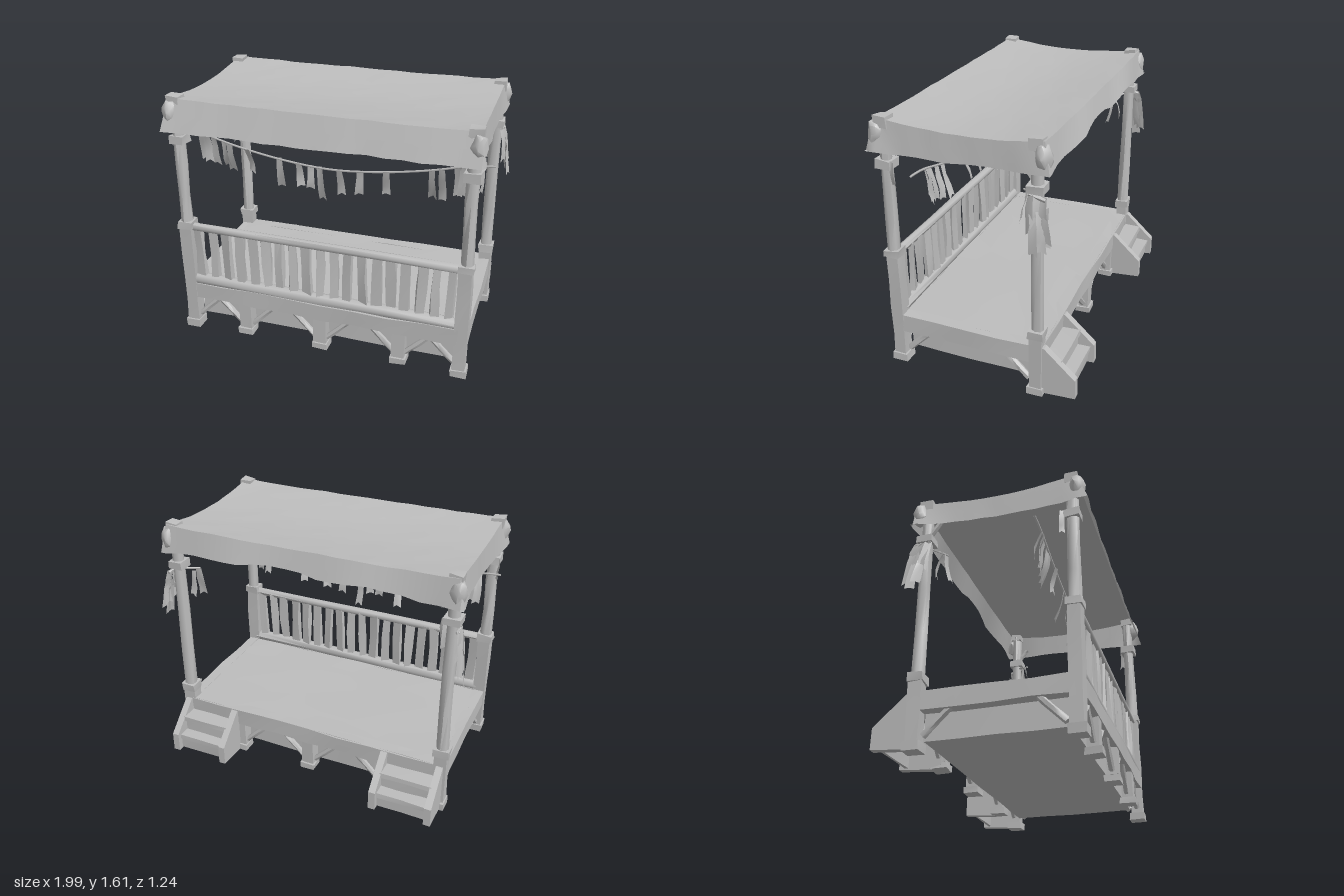
import * as THREE from 'three';
import { toCreasedNormals } from 'three/addons/utils/BufferGeometryUtils.js';

const grey = new THREE.MeshStandardMaterial({ color: 0xbdbdbd, side: THREE.DoubleSide });
grey.name = 'weathered grey';

// Seeded noise in -1..1, used to make timber and cloth uneven
let seed = 7;
function rnd() {
  seed = (seed * 16807) % 2147483647;
  return (seed / 2147483647) * 2 - 1;
}
function wobble(x, y, z) {
  const s = Math.sin(x * 127.1 + y * 311.7 + z * 74.7) * 43758.5;
  return (s - Math.floor(s)) * 2 - 1;
}

// Moves every vertex slightly; matching corners move together
function roughen(geo, amount, salt) {
  const p = geo.attributes.position;
  for (let i = 0; i < p.count; i++) {
    const x = Math.round(p.getX(i) * 1000) / 1000 + salt;
    const y = Math.round(p.getY(i) * 1000) / 1000;
    const z = Math.round(p.getZ(i) * 1000) / 1000;
    p.setXYZ(i, p.getX(i) + amount * wobble(x, y, z), p.getY(i) + amount * wobble(y, z, x),
      p.getZ(i) + amount * wobble(z, x, y));
  }
  return toCreasedNormals(geo, 0.9);
}

export function createModel() {
  seed = 7;
  const model = new THREE.Group();
  model.name = 'covered platform';

  function add(name, geo, x = 0, y = 0, z = 0) {
    const mesh = new THREE.Mesh(geo, grey);
    mesh.name = name;
    mesh.position.set(x, y, z);
    model.add(mesh);
    return mesh;
  }
  // Uneven timber given by its centre and size
  function timber(name, x, y, z, w, h, d, amount = 0.004) {
    const seg = (s) => Math.max(1, Math.min(8, Math.round(s / 0.2)));
    const geo = new THREE.BoxGeometry(w, h, d, seg(w), seg(h), seg(d));
    return add(name, roughen(geo, amount, model.children.length * 0.37), x, y, z);
  }
  // Round pole between two points
  function pole(name, a, b, r, sides = 6, rEnd = r) {
    const from = new THREE.Vector3(...a), to = new THREE.Vector3(...b);
    const dir = to.clone().sub(from);
    const geo = roughen(new THREE.CylinderGeometry(rEnd, r, dir.length(), sides, 4), r * 0.1, a[0]);
    const mesh = add(name, geo);
    mesh.position.copy(from).add(to).multiplyScalar(0.5);
    mesh.quaternion.setFromUnitVectors(new THREE.Vector3(0, 1, 0), dir.normalize());
    return mesh;
  }

  const PX = 0.89, FZ = 0.515, BZ = -0.38;

  // Corner posts with feet, collars and caps
  for (const x of [-PX, PX]) {
    for (const z of [FZ, BZ]) {
      const joint = z === FZ ? 0.76 : 0.425;
      timber('lowerPost', x, joint / 2 + 0.01, z, 0.08, joint - 0.02, 0.074);
      pole('upperPost', [x, joint, z], [x, 1.57, z], 0.039, 8, 0.036);
      timber('postFoot', x, 0.032, z, 0.098, 0.05, 0.098);
      timber('postCap', x, 1.575, z, 0.078, 0.064, 0.078, 0.006);
      timber('postCollar', x, joint, z, 0.094, 0.05, 0.09, 0.006);
      timber('postCollar', x, 1.33, z, 0.094, 0.05, 0.094, 0.006);
    }
    // Side beams and braces
    timber('sideBeam', x, 0.285, 0.065, 0.07, 0.11, 0.84);
    pole('sideBrace', [x, 0.09, 0.46], [x, 0.24, 0.31], 0.02);
    pole('sideBrace', [x, 0.09, -0.33], [x, 0.24, -0.18], 0.02);
    // Small braces under the canopy at the back
    pole('canopyBrace', [x, 1.37, BZ + 0.02], [x, 1.45, BZ + 0.08], 0.016);
  }

  // Short legs, long beams and braces on the front and back
  for (const z of [FZ, BZ]) {
    timber('longBeam', 0, 0.287, z, 1.74, 0.105, 0.075, 0.006);
    for (const x of [-0.51, 0, 0.51]) {
      timber('shortLeg', x, 0.17, z, 0.08, 0.22, 0.07);
      timber('legFoot', x, 0.042, z, 0.098, 0.04, 0.098);
    }
    for (const x of [-PX, -0.51, 0, 0.51, PX]) {
      for (const s of [-1, 1]) {
        if (Math.abs(x + s * 0.2) > PX) continue;
        pole('legBrace', [x + s * 0.04, 0.09, z], [x + s * 0.2, 0.25, z], 0.018);
      }
    }
  }

  // Floor reaching over the back beam, and the boarded base beneath it
  timber('floor', 0, 0.315, 0.04, 1.76, 0.05, 0.9, 0.003);
  timber('baseBoards', 0, 0.18, 0.065, 1.69, 0.21, 0.81, 0.003);

  // Railing with uneven slats
  pole('handRail', [-0.87, 0.742, FZ], [0.87, 0.742, FZ], 0.027, 8);
  pole('lowerRail', [-0.87, 0.363, FZ - 0.002], [0.87, 0.363, FZ - 0.002], 0.038, 8);
  for (let i = 0; i < 19; i++) {
    const slat = timber('railSlat', -0.81 + i * 0.09 + rnd() * 0.006, 0.565, FZ - 0.005,
      0.054 + rnd() * 0.009, 0.36, 0.028, 0.007);
    slat.rotation.set(rnd() * 0.03, rnd() * 0.35, rnd() * 0.04);
  }

  // Two stairs at the back, with the side profile running backwards
  const profile = [[0.36, 0.335], [0.43, 0.335], [0.62, 0.16], [0.622, 0.035], [0.42, 0.02], [0.36, 0.05]];
  const sideGeo = new THREE.ExtrudeGeometry(new THREE.Shape(profile.map(([a, b]) => new THREE.Vector2(a, b))),
    { depth: 0.044, bevelEnabled: false });
  sideGeo.rotateY(Math.PI / 2).translate(-0.022, 0, 0);
  for (const s of [-1, 1]) {
    for (const x of [0.535, 0.893]) add('stairSide', sideGeo, s * x);
    timber('lowerStep', s * 0.714, 0.13, -0.535, 0.33, 0.03, 0.12);
    timber('upperStep', s * 0.714, 0.235, -0.465, 0.33, 0.03, 0.13);
    timber('lowerRiser', s * 0.714, 0.08, -0.575, 0.33, 0.08, 0.02);
    timber('upperRiser', s * 0.714, 0.18, -0.505, 0.33, 0.09, 0.02);
  }

  // Sagging canopy: the two outer rings of the grid hang down as a hem
  const NX = 22, NZ = 16;
  const roof = new THREE.PlaneGeometry(2, 2, NX, NZ);
  roof.rotateX(-Math.PI / 2);
  const p = roof.attributes.position;
  for (let j = 0; j <= NZ; j++) {
    for (let i = 0; i <= NX; i++) {
      const u = THREE.MathUtils.clamp((i - 2) / (NX - 4), 0, 1) * 2 - 1;
      const v = THREE.MathUtils.clamp((j - 2) / (NZ - 4), 0, 1);
      const dx = Math.max(0, 2 - i, i - NX + 2) / 2;
      const dz = Math.max(0, 2 - j, j - NZ + 2) / 2;
      const drop = Math.max(dx, dz);
      const mid = Math.sin(Math.PI * v);
      const corner = Math.pow(Math.abs(u), 6) * Math.pow(Math.abs(2 * v - 1), 4);
      const top = 1.588 + 0.012 * corner - 0.03 * mid - 0.012 * (1 - u * u) * mid + 0.003 * wobble(u, v, 1);
      // The back hem is shorter and wavier than the others
      const backLift = v === 0 ? (1 - u * u) * (0.04 + 0.015 * Math.sin(u * 9)) : 0;
      const bottom = 1.425 - 0.022 * v - 0.012 * mid + backLift + 0.006 * wobble(u, v, 4);
      const x = u * (0.92 - 0.01 * mid) + Math.sign(u) * dx * (0.012 + 0.022 * corner + 0.006 * wobble(u, v, 2));
      const out = v > 0.5 ? 0.06 + 0.01 * corner : -0.04 + 0.012 * Math.cos(u * 7);
      const z = -0.43 + v * 0.975 + dz * (out + 0.007 * wobble(u, v, 3));
      p.setXYZ(j * (NX + 1) + i, x, top + (bottom - top) * drop, z);
    }
  }
  add('canopy', toCreasedNormals(roof, 0.7));

  // Cloth wrapped around the posts at the canopy corners
  for (const x of [-0.912, 0.912]) {
    for (const z of [0.55, -0.42]) {
      const wrap = add('cornerWrap', roughen(new THREE.IcosahedronGeometry(0.05, 1), 0.007, x + z), x, 1.51, z);
      wrap.scale.set(0.95, 1.5, 0.95);
    }
  }

  // Ragged ribbon hanging from its top edge; a negative tilt swings it along its facing side
  function ribbon(name, x, y, z, w, h, tilt, yaw, roll = 0) {
    const geo = new THREE.PlaneGeometry(w, h, 2, 3);
    geo.translate(0, -h / 2, 0);
    const q = geo.attributes.position;
    for (let i = 0; i < q.count; i++) {
      const t = -q.getY(i) / h;
      const notch = t > 0.99 && Math.abs(q.getX(i)) < 0.001 ? h * 0.08 : 0;
      q.setXYZ(i, q.getX(i) * (0.75 + t * 0.35) + rnd() * 0.003, q.getY(i) + notch + rnd() * 0.006,
        0.008 * Math.sin(t * 5 + x * 20) + rnd() * 0.004);
    }
    geo.computeVertexNormals();
    add(name, geo, x, y, z).rotation.set(tilt, yaw, roll, 'YXZ');
  }

  // Bunting rope across the front
  const ropeY = (x) => 1.165 + 0.175 * Math.pow(Math.abs(x), 1.7);
  const pts = [-0.98, -0.86, -0.6, -0.3, 0, 0.3, 0.6, 0.86, 0.98]
    .map((x) => new THREE.Vector3(x, ropeY(Math.min(Math.abs(x), 0.9)), 0.315));
  add('buntingRope', new THREE.TubeGeometry(new THREE.CatmullRomCurve3(pts), 40, 0.007, 5));
  // Flags: position along the rope and length
  const flags = [[-0.85, 0.2], [-0.81, 0.19], [-0.77, 0.2], [-0.7, 0.2], [-0.66, 0.22], [-0.54, 0.17], [-0.33, 0.23],
    [-0.2, 0.17], [-0.12, 0.16], [-0.07, 0.25], [0.06, 0.18], [0.19, 0.18], [0.35, 0.18], [0.62, 0.22], [0.68, 0.22],
    [0.77, 0.21], [0.8, 0.2], [0.84, 0.22]];
  for (const [x, h] of flags) {
    ribbon('buntingFlag', x, ropeY(x) + 0.005, 0.318, 0.047, h, 0.12 + Math.abs(rnd()) * 0.14, rnd() * 0.4, rnd() * 0.08);
  }

  // Ribbon bundles tied to the back posts
  for (const s of [-1, 1]) {
    for (let i = 0; i < 8; i++) {
      ribbon('postRibbon', s * (0.93 + 0.006 * (i % 3)), 1.3 - (i % 3) * 0.06, -0.355 - i * 0.012, 0.055,
        0.22 + rnd() * 0.03, -0.12 - 0.06 * (i % 3), s * (Math.PI / 2 + rnd() * 0.4), s * 0.1 + rnd() * 0.08);
    }
    pole('ribbonCord', [s * 0.92, 1.3, -0.34], [s * 0.93, 1.28, -0.44], 0.012, 5);
    // Loose ribbons on the inner side of the posts
    pole('innerCord', [s * 0.87, 1.29, -0.36], [s * 0.81, 1.265, -0.27], 0.006, 5);
    ribbon('innerRibbon', s * 0.81, 1.27, -0.285, 0.05, 0.2, -0.15, s * 0.15);
    ribbon('innerRibbon', s * 0.83, 1.26, -0.305, 0.045, 0.17, 0.2, s * -0.2);
    ribbon('frontRibbon', s * 0.93, 1.35, 0.46, 0.035, 0.15, 0, s * 1.2);
  }
  return model;
}
